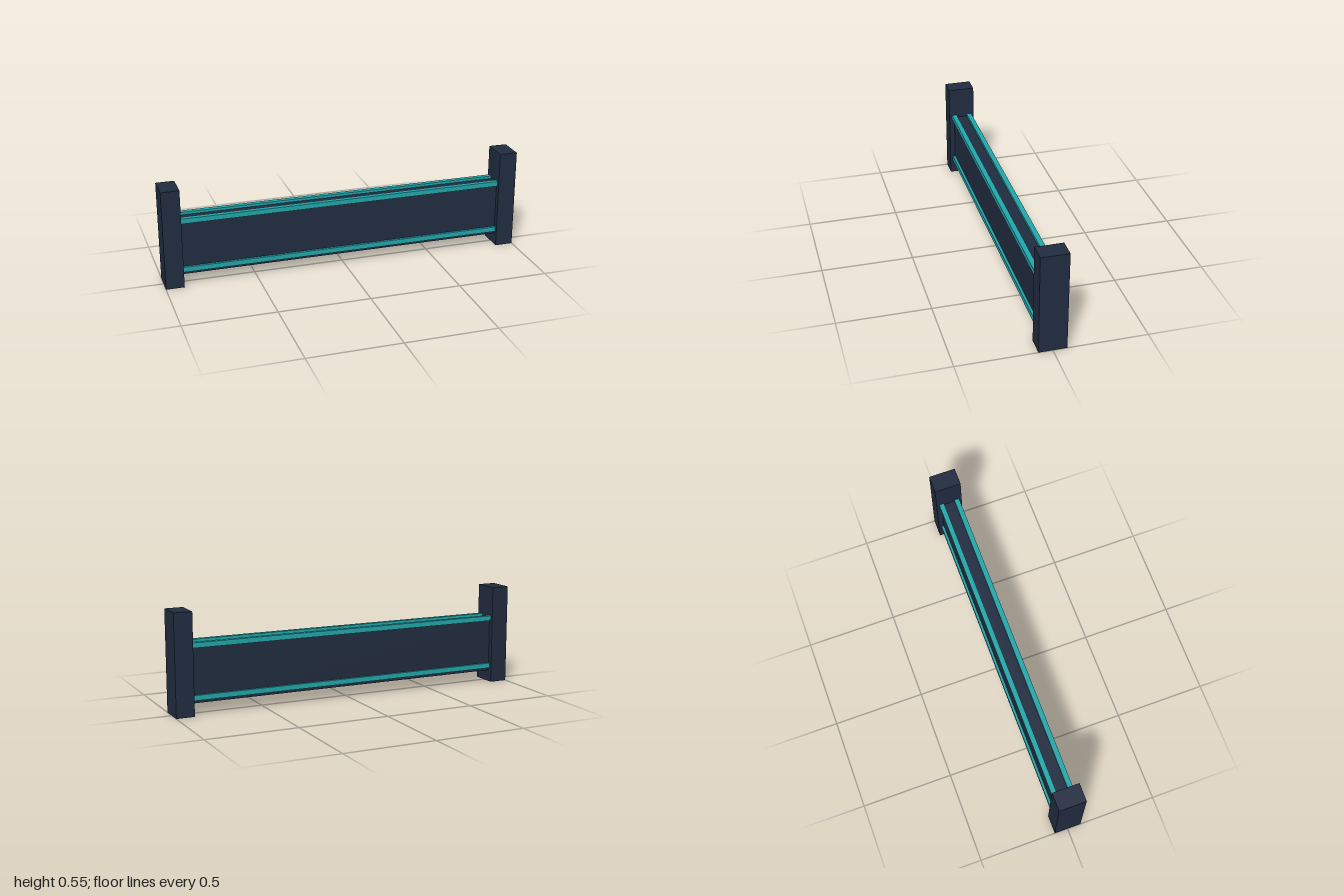
import * as THREE from 'three';

export function createModel() {
  const group = new THREE.Group();
  const slate = new THREE.MeshStandardMaterial({ name: 'dark slate', color: 0x212c40 });
  const teal = new THREE.MeshStandardMaterial({ name: 'teal', color: 0x22a6aa });

  const box = (name, material, size, position) => {
    const mesh = new THREE.Mesh(new THREE.BoxGeometry(...size), material);
    mesh.name = name;
    mesh.position.set(...position);
    group.add(mesh);
  };

  // Long panel between the posts
  box('panel', slate, [1.8, 0.308, 0.09], [0, 0.218, 0]);

  // End posts
  for (const [side, x] of [['left', 0.95], ['right', -0.95]]) {
    box(`${side}Post`, slate, [0.1, 0.552, 0.149], [x, 0.276, 0]);
  }

  // Light strips along the upper and lower edges of both faces
  for (const [face, z] of [['front', 0.045], ['back', -0.045]]) {
    box(`${face}UpperStrip`, teal, [1.8, 0.028, 0.028], [0, 0.372, z]);
    box(`${face}LowerStrip`, teal, [1.8, 0.028, 0.028], [0, 0.094, z]);
  }

  return group;
}
